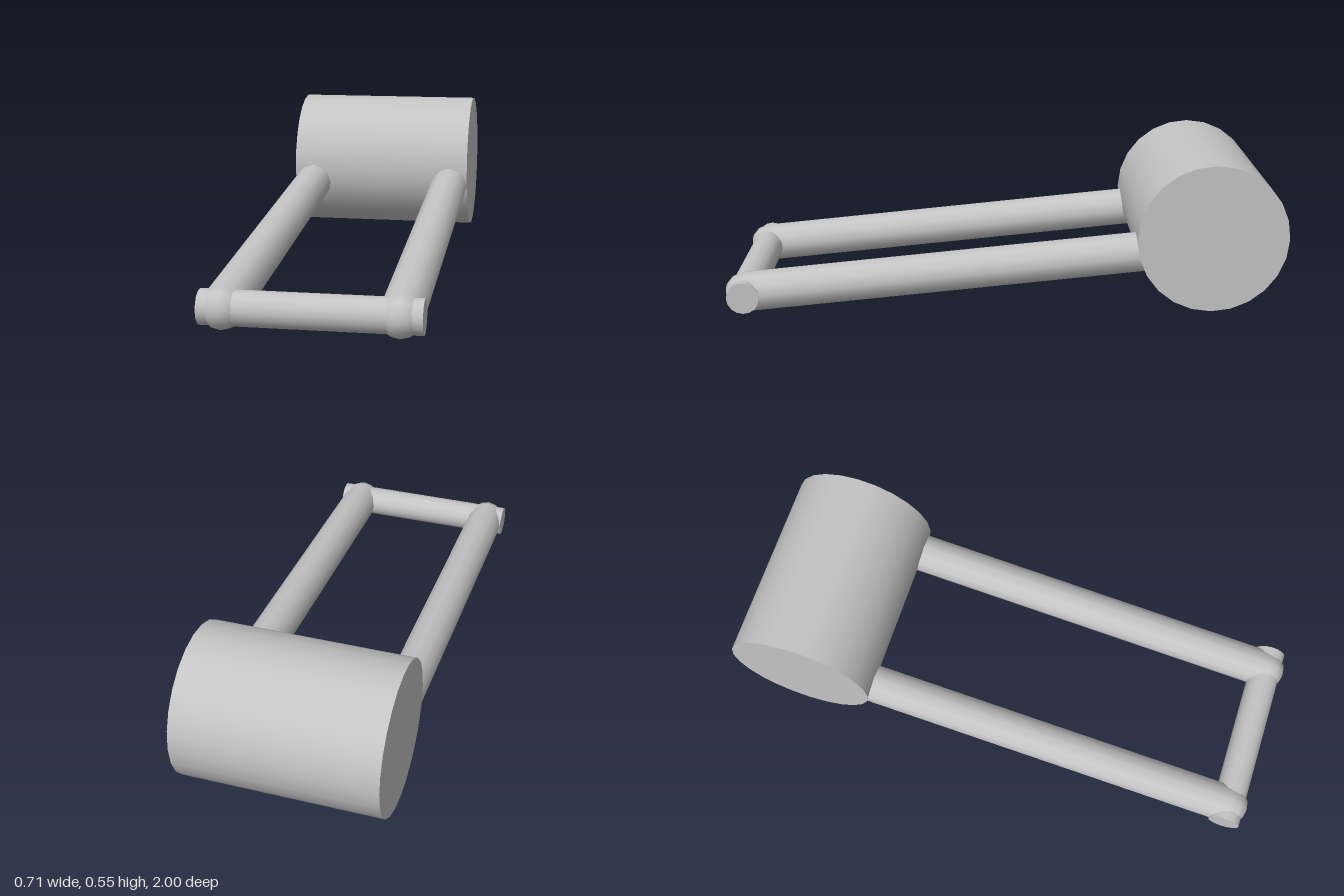
import * as THREE from 'three';

const grey = new THREE.MeshStandardMaterial({ color: 0xc4c4c4 });
grey.name = 'plainGrey';

function addPart(parent, name, geometry) {
  const mesh = new THREE.Mesh(geometry, grey);
  mesh.name = name;
  parent.add(mesh);
  return mesh;
}

// Solid cylinder lying along x
function crossCylinder(radius, length, sides) {
  return new THREE.CylinderGeometry(radius, radius, length, sides).rotateZ(Math.PI / 2);
}

export function createModel() {
  const model = new THREE.Group();
  model.name = 'drumWithFrame';

  // Large drum at the back
  addPart(model, 'drum', crossCylinder(0.267, 0.71, 24)).position.set(0, 0.281, -0.733);

  // Thin bar across the front
  addPart(model, 'frontBar', crossCylinder(0.058, 0.71, 16)).position.set(0, 0.072, 0.927);

  // Two sloping arms with rounded front ends, running into the drum
  const front = new THREE.Vector3(0, 0.072, 0.927);
  const back = new THREE.Vector3(0, 0.238, -0.7);
  const direction = front.clone().sub(back);
  const middle = front.clone().add(back).multiplyScalar(0.5);
  for (const [name, side] of [['leftArm', 1], ['rightArm', -1]]) {
    const arm = addPart(model, name, new THREE.CapsuleGeometry(0.072, direction.length(), 3, 12));
    arm.position.set(side * 0.282, middle.y, middle.z);
    arm.rotation.x = Math.atan2(direction.z, direction.y);
  }

  return model;
}
